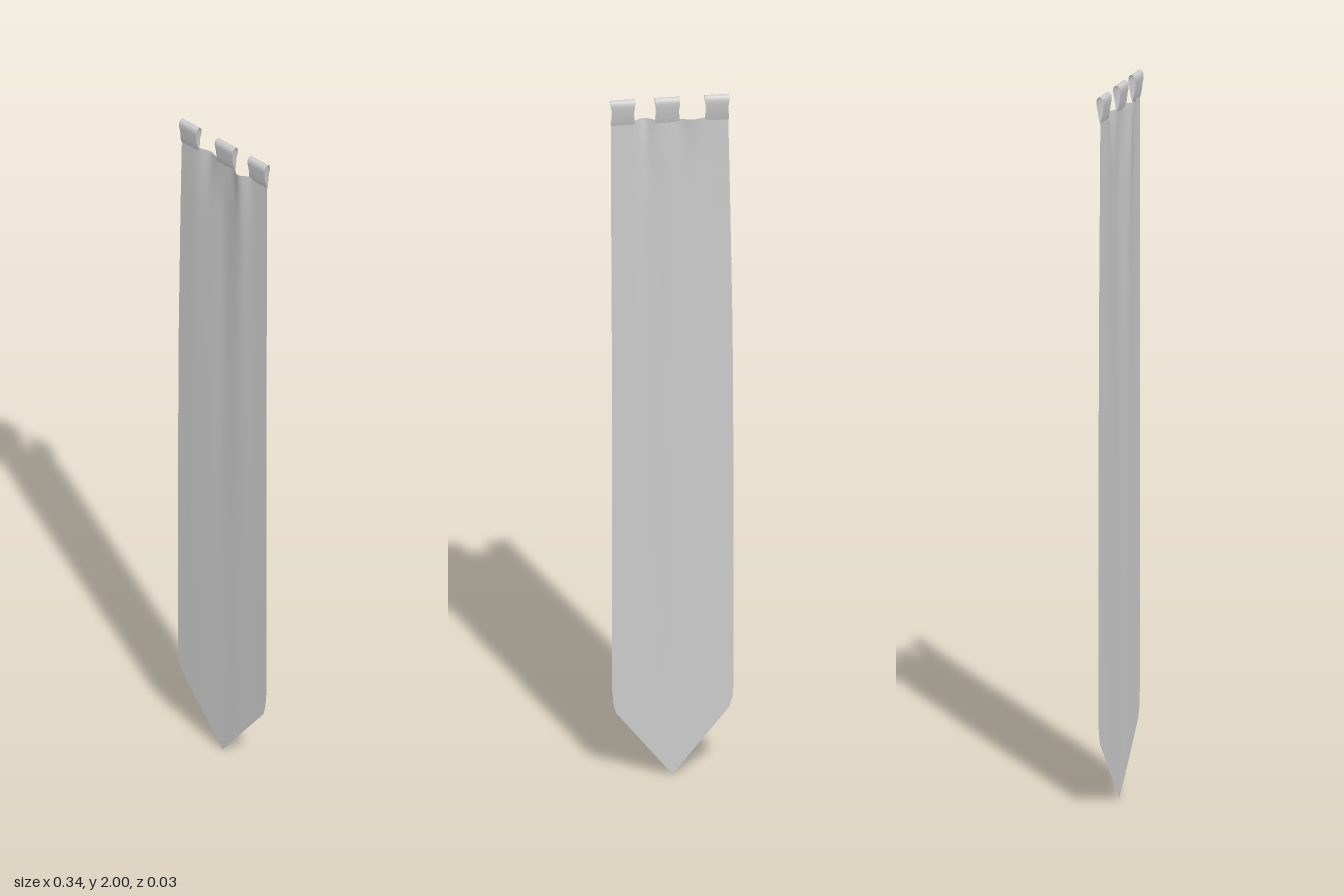
import * as THREE from 'three';

const material = new THREE.MeshStandardMaterial({ color: 0xcccccc, side: THREE.DoubleSide });
const TOP = 1.935, Z0 = -0.005;
const bump = (x, centre, width) => Math.exp(-(((x - centre) / width) ** 2));

// Left and right outline of the cloth, as [y, x right side, x left side]
const outline = [
  [TOP, -0.153, 0.168], [1.7, -0.158, 0.168], [1.3, -0.165, 0.166], [0.8, -0.168, 0.166],
  [0.26, -0.168, 0.165], [0.22, -0.165, 0.162], [0.19, -0.156, 0.154], [0, 0, 0],
];

function edgesAt(y) {
  let i = 0;
  while (i < outline.length - 2 && y < outline[i + 1][0]) i++;
  const [a, b] = [outline[i], outline[i + 1]];
  const t = (a[0] - y) / (a[0] - b[0]);
  return [a[1] + (b[1] - a[1]) * t, a[2] + (b[2] - a[2]) * t];
}

// Sagging folds between the straps, fading into long soft pleats
function foldDepth(x, y) {
  const drop = TOP - y;
  const sag = Math.exp(-drop / 0.09);
  const pleat = Math.min(1, drop / 0.15) * Math.exp(-drop / 0.9);
  return Z0
    + sag * (0.02 * bump(x, 0.076, 0.022) - 0.011 * bump(x, -0.055, 0.025))
    + pleat * (0.006 * bump(x, 0.07, 0.035) + 0.003 * bump(x, -0.1, 0.04) - 0.005 * bump(x, 0, 0.03));
}

// Long pointed cloth
function createCloth() {
  const rows = [];
  for (let i = 0; i < 12; i++) rows.push(TOP - i * 0.02);
  for (let i = 0; i <= 24; i++) rows.push(1.695 - (1.695 - 0.26) * i / 24);
  rows.push(0.22, 0.19, 0.14, 0.09, 0.04, 0);
  const cols = 40;
  const geometry = new THREE.PlaneGeometry(1, 1, cols, rows.length - 1);
  const pos = geometry.attributes.position;
  rows.forEach((y, r) => {
    const [x0, x1] = edgesAt(y);
    for (let c = 0; c <= cols; c++) {
      const x = x0 + (x1 - x0) * c / cols;
      pos.setXYZ(r * (cols + 1) + c, x, y, foldDepth(x, y));
    }
  });
  geometry.computeVertexNormals();
  const mesh = new THREE.Mesh(geometry, material);
  mesh.name = 'cloth';
  return mesh;
}

// Hanging strap: a teardrop loop of cloth, open at both ends
const loopCurve = new THREE.CatmullRomCurve3([
  [1.925, -0.005], [1.94, -0.001], [1.965, 0.003], [1.988, 0.005], [1.997, 0.001], [2, -0.0055],
  [1.997, -0.012], [1.988, -0.016], [1.965, -0.014], [1.94, -0.009], [1.925, -0.005],
].map(([y, z]) => new THREE.Vector3(0, y, z)));

function createStrap(name, x0, x1) {
  const steps = 36, across = 4;
  const geometry = new THREE.PlaneGeometry(1, 1, across, steps);
  const pos = geometry.attributes.position;
  for (let i = 0; i <= steps; i++) {
    const p = loopCurve.getPoint(i / steps);
    const pinch = 0.003 * bump(p.y, 1.96, 0.018);
    for (let j = 0; j <= across; j++) {
      const x = x0 + pinch + (x1 - x0 - 2 * pinch) * j / across;
      pos.setXYZ(i * (across + 1) + j, x, p.y, p.z);
    }
  }
  // Rows run up the front and down the back, so flip to face outwards
  geometry.index.array.reverse();
  geometry.computeVertexNormals();
  const mesh = new THREE.Mesh(geometry, material);
  mesh.name = name;
  return mesh;
}

export function createModel() {
  const group = new THREE.Group();
  group.name = 'hangingBanner';
  group.add(
    createCloth(),
    createStrap('rightStrap', -0.155, -0.089),
    createStrap('middleStrap', -0.02, 0.048),
    createStrap('leftStrap', 0.103, 0.169),
  );
  return group;
}
